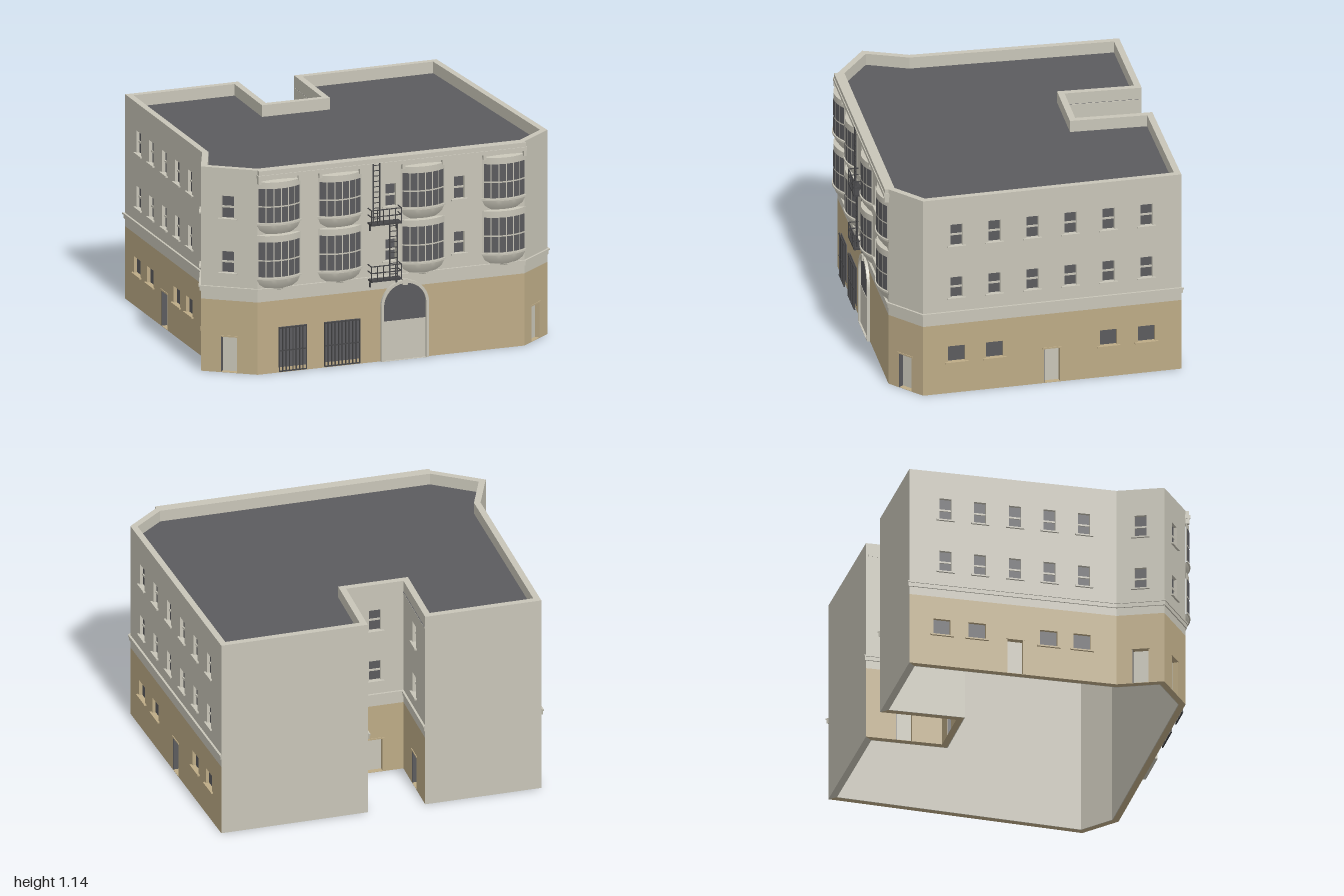
import * as THREE from 'three';
import { toCreasedNormals } from 'three/addons/utils/BufferGeometryUtils.js';

const mat = (name, color) => {
  const m = new THREE.MeshStandardMaterial({ color });
  m.name = name;
  return m;
};

export function createModel() {
  const model = new THREE.Group();
  model.name = 'cornerBuilding';
  const stone = mat('paleStone', 0xc8c5b8);
  const tan = mat('tanRender', 0xbdab86);
  const slate = mat('slateGlass', 0x5b5b5e);
  const iron = mat('darkIron', 0x454547);

  const TOP = 1.145, BASE = 0.405, DEEP = 0.035, ROOF = 1.08;

  const add = (parent, name, geo, material, x = 0, y = 0, z = 0) => {
    const mesh = new THREE.Mesh(geo, material);
    mesh.name = name;
    mesh.position.set(x, y, z);
    parent.add(mesh);
    return mesh;
  };
  // Box given by its min and max corners
  const box = (parent, name, m, x0, x1, y0, y1, z0, z1) =>
    add(parent, name, new THREE.BoxGeometry(x1 - x0, y1 - y0, z1 - z0), m,
      (x0 + x1) / 2, (y0 + y1) / 2, (z0 + z1) / 2);

  // Openings: s = distance along the wall, then width and height range
  const sash = (s, w = 0.066) => [[0.56, 0.68], [0.865, 0.99]].map(([y0, y1]) => ({ kind: 'window', s, w, y0, y1 }));
  const low = s => ({ kind: 'lowWindow', s, w: 0.095, y0: 0.183, y1: 0.275 });
  const door = (s, w = 0.088) => ({ kind: 'door', s, w, y0: 0.002, y1: 0.2 });

  // Footprint corners with the openings of the wall that starts there
  const plan = [
    { p: [-0.73, 0.76], name: 'frontWall', open: [...sash(0.762, 0.06), ...sash(1.155, 0.06)] },
    { p: [0.8, 0.76], name: 'rightCornerWall', open: [door(0.118)] },
    { p: [0.988, 0.605], name: 'rightWall', open: [
      ...[0.42, 0.21, 0, -0.21, -0.42, -0.63].flatMap(z => sash(0.605 - z)),
      ...[0.42, 0.21, -0.42, -0.63].map(z => low(0.605 - z)), door(0.713)] },
    { p: [0.89, -0.82], name: 'rightBackWall', plain: true, open: [] },
    { p: [0.07, -0.81], name: 'courtRightWall', open: [...sash(0.21), door(0.21)] },
    { p: [0.07, -0.39], name: 'courtBackWall', open: [...sash(0.16), door(0.16)] },
    { p: [-0.25, -0.39], name: 'courtLeftWall', open: [...sash(0.21), door(0.21)] },
    { p: [-0.25, -0.81], name: 'leftBackWall', plain: true, open: [] },
    { p: [-0.9, -0.805], name: 'leftWall', open: [
      ...[0.2, 0.39, 0.585, 0.775, 0.965].flatMap(s => sash(s)),
      ...[0.18, 0.375, 0.77, 0.955].map(low), door(0.585)] },
    { p: [-0.89, 0.34], name: 'leftRearCornerWall', open: [...sash(0.13), door(0.13)] },
    { p: [-0.988, 0.58], name: 'leftFrontCornerWall', open: [...sash(0.15, 0.07), door(0.155)] },
  ];
  const n = plan.length;
  plan.forEach((w, i) => {
    const q = plan[(i + 1) % n].p;
    w.len = Math.hypot(q[0] - w.p[0], q[1] - w.p[1]);
    w.angle = Math.atan2(w.p[1] - q[1], q[0] - w.p[0]);
  });
  // Tangent of half the turn between two walls, used for the mitres
  const halfTurn = (a, b) => Math.tan(Math.atan2(Math.sin(b - a), Math.cos(b - a)) / 2);

  plan.forEach((w, i) => {
    const g = new THREE.Group();
    g.name = w.name;
    g.position.set(w.p[0], 0, w.p[1]);
    g.rotation.y = w.angle;
    model.add(g);
    w.group = g;
    const L = w.len;
    const kStart = halfTurn(plan[(i + n - 1) % n].angle, w.angle);
    const kEnd = halfTurn(w.angle, plan[(i + 1) % n].angle);
    const mitre = geo => {
      const p = geo.attributes.position;
      for (let j = 0; j < p.count; j++) {
        const x = p.getX(j), z = p.getZ(j);
        if (x < 1e-4) p.setX(j, x - z * kStart);
        else if (x > L - 1e-4) p.setX(j, x + z * kEnd);
      }
      geo.computeVertexNormals();
      return geo;
    };
    // Wall slab with holes for its openings
    const slab = (name, m, y0, y1) => {
      const s = new THREE.Shape([[0, y0], [L, y0], [L, y1], [0, y1]].map(v => new THREE.Vector2(...v)));
      for (const o of w.open) {
        if (o.y0 < y0 || o.y1 > y1) continue;
        const a = o.s - o.w / 2, b = o.s + o.w / 2;
        s.holes.push(new THREE.Path([[a, o.y0], [a, o.y1], [b, o.y1], [b, o.y0]].map(v => new THREE.Vector2(...v))));
      }
      const geo = new THREE.ExtrudeGeometry(s, { depth: DEEP, bevelEnabled: false }).translate(0, 0, -DEEP);
      add(g, name, mitre(geo), m);
    };
    const strip = (name, y0, y1, z0, z1) => add(g, name,
      mitre(new THREE.BoxGeometry(L, y1 - y0, z1 - z0).translate(L / 2, (y0 + y1) / 2, (z0 + z1) / 2)), stone);

    slab('upperWall', stone, BASE, TOP);
    slab('lowerWall', w.plain ? stone : tan, 0, BASE);
    strip('innerLining', 0, ROOF - 0.01, -DEEP - 0.004, -DEEP);
    if (!w.plain) {
      strip('beltCourse', 0.45, 0.472, -0.005, 0.007);
      strip('beltCourseCap', 0.472, 0.481, -0.005, 0.012);
    }
    for (const o of w.open) {
      const a = o.s - o.w / 2, b = o.s + o.w / 2, mid = (o.y0 + o.y1) / 2;
      if (o.kind === 'door') {
        box(g, 'doorPanel', stone, a, b, o.y0, o.y1, -0.034, -0.03);
        box(g, 'doorJamb', slate, a, a + 0.003, o.y0, o.y1, -0.03, -0.001);
        box(g, 'doorLintel', w.plain ? stone : tan, a - 0.008, b + 0.008, o.y1, o.y1 + 0.008, -0.01, 0.004);
        continue;
      }
      box(g, 'windowGlass', slate, a, b, o.y0, o.y1, -0.022, -0.018);
      box(g, 'windowSill', o.kind === 'window' ? stone : tan, a - 0.017, b + 0.017, o.y0 - 0.008, o.y0, -0.015, 0.012);
      if (o.kind === 'window') box(g, 'sashBar', stone, a, b, mid - 0.006, mid + 0.004, -0.018, -0.012);
    }
  });

  // Roof deck and the ceiling below it
  const outline = new THREE.Shape(plan.map(w => new THREE.Vector2(w.p[0] * 0.985, -w.p[1] * 0.985)));
  add(model, 'roofDeck', new THREE.ShapeGeometry(outline).rotateX(-Math.PI / 2), slate, 0, ROOF);
  add(model, 'ceiling', new THREE.ExtrudeGeometry(outline, { depth: 0.01, bevelEnabled: false }).rotateX(-Math.PI / 2), stone, 0, ROOF - 0.012);

  // Front details, with x as in the model and z measured from the wall face
  const front = new THREE.Group();
  front.name = 'frontDetails';
  front.position.z = 0.76;
  model.add(front);

  // Curved bay windows on two floors
  const half = 0.125, bulge = 0.042, R = (half * half + bulge * bulge) / (2 * bulge), arc = Math.asin(half / R);
  const bays = [-0.61, -0.26, 0.215, 0.68];
  const sector = (profile, a0, a1, seg) => toCreasedNormals(
    new THREE.LatheGeometry(profile.map(v => new THREE.Vector2(...v)), seg, a0, a1 - a0), 0.5);
  for (const x of bays) for (const [y0, y1] of [[0.55, 0.745], [0.855, 1.045]]) {
    const bay = new THREE.Group();
    bay.name = 'bayWindow';
    bay.position.set(x, 0, bulge - R);
    front.add(bay);
    add(bay, 'bayBody', sector([
      [R - bulge, y0 - 0.095], [R - 0.03, y0 - 0.075], [R - 0.008, y0 - 0.045], [R, y0 - 0.015], [R + 0.007, y0 - 0.015],
      [R + 0.007, y0 - 0.005], [R, y0 - 0.005], [R, y1 + 0.035], [R - bulge, y1 + 0.04]], -arc, arc, 12), stone);
    const ya = y0 + (y1 - y0) * 0.47, step = 0.405;
    for (let k = -1; k <= 1; k++) for (const [b, t] of [[y0, ya - 0.004], [ya + 0.004, y1]])
      for (const h of [-1, 1]) {
        const c = k * step + h * step / 4, e = step / 4 - 0.012;
        add(bay, 'bayGlass', sector([[R + 0.002, b], [R + 0.002, t]], c - e, c + e, 2), slate);
      }
  }

  // Cornice with brackets
  box(front, 'corniceTop', stone, -0.73, 0.8, 1.12, TOP, -0.01, 0.02);
  box(front, 'corniceLedge', stone, -0.735, 0.805, 1.1, 1.12, -0.01, 0.025);
  for (const x of bays) for (const d of [-0.115, 0.115])
    box(front, 'corniceBracket', stone, x + d - 0.008, x + d + 0.008, 1.07, 1.1, -0.005, 0.022);

  // Arched gateway
  const arch = (r, y0, spring) => {
    const s = new THREE.Shape();
    s.moveTo(-r, y0);
    s.lineTo(r, y0);
    s.lineTo(r, spring);
    s.absarc(0, spring, r, 0, Math.PI, false);
    s.closePath();
    return s;
  };
  const extrude = (s, depth) => new THREE.ExtrudeGeometry(s, { depth, bevelEnabled: false, curveSegments: 16 });
  const gx = 0.11;
  const surround = arch(0.137, 0, 0.308);
  surround.holes.push(new THREE.Path(arch(0.121, 0.002, 0.308).getPoints(16)));
  add(front, 'gateSurround', extrude(surround, 0.018), stone, gx, 0, -0.002);
  add(front, 'gateFanlight', extrude(arch(0.122, 0.222, 0.308), 0.005), slate, gx, 0, -0.001);
  box(front, 'gateDoor', stone, gx - 0.122, gx + 0.122, 0.002, 0.222, -0.001, 0.006);
  box(front, 'gateKeystone', stone, gx - 0.014, gx + 0.014, 0.42, 0.452, 0, 0.022);

  // Barred ground floor windows
  for (const [x0, x1] of [[-0.61, -0.455], [-0.35, -0.15]]) {
    box(front, 'barredGlass', slate, x0, x1, 0.03, 0.255, -0.003, 0.003);
    const count = Math.round((x1 - x0) / 0.02);
    for (let k = 0; k <= count; k++) {
      const x = x0 + (x1 - x0) * k / count;
      box(front, 'windowBar', iron, x - 0.0025, x + 0.0025, 0.008, 0.257, 0.01, 0.015);
    }
    for (const y of [0.01, 0.125, 0.252]) box(front, 'crossBar', iron, x0, x1, y - 0.003, y + 0.003, 0.009, 0.016);
  }

  // Fire escape
  const escape = new THREE.Group();
  escape.name = 'fireEscape';
  front.add(escape);
  const ladder = (x0, x1, y0, y1, z) => {
    for (const x of [x0, x1]) box(escape, 'ladderRail', iron, x - 0.003, x + 0.003, y0, y1, z - 0.003, z + 0.003);
    for (let y = y0 + 0.02; y < y1; y += 0.03) box(escape, 'ladderRung', iron, x0, x1, y - 0.002, y + 0.002, z - 0.002, z + 0.002);
  };
  for (const y of [0.47, 0.785]) {
    box(escape, 'platform', iron, -0.1, 0.075, y - 0.006, y + 0.004, 0, 0.057);
    for (const h of [0.045, 0.082]) {
      box(escape, 'frontRail', iron, -0.1, 0.075, y + h - 0.003, y + h + 0.002, 0.052, 0.057);
      for (const x of [-0.1, 0.071]) box(escape, 'sideRail', iron, x, x + 0.004, y + h - 0.003, y + h + 0.002, 0, 0.057);
    }
    for (let k = 0; k <= 5; k++) {
      const x = -0.098 + k * 0.0342;
      box(escape, 'railPost', iron, x - 0.002, x + 0.002, y, y + 0.082, 0.052, 0.057);
    }
    for (const x of [-0.088, 0.063]) box(escape, 'platformStrut', iron, x - 0.004, x + 0.004, y - 0.045, y, 0, 0.012);
  }
  ladder(-0.078, -0.04, 0.79, 1.12, 0.025);
  ladder(0.014, 0.056, 0.474, 0.785, 0.035);
  return model;
}
